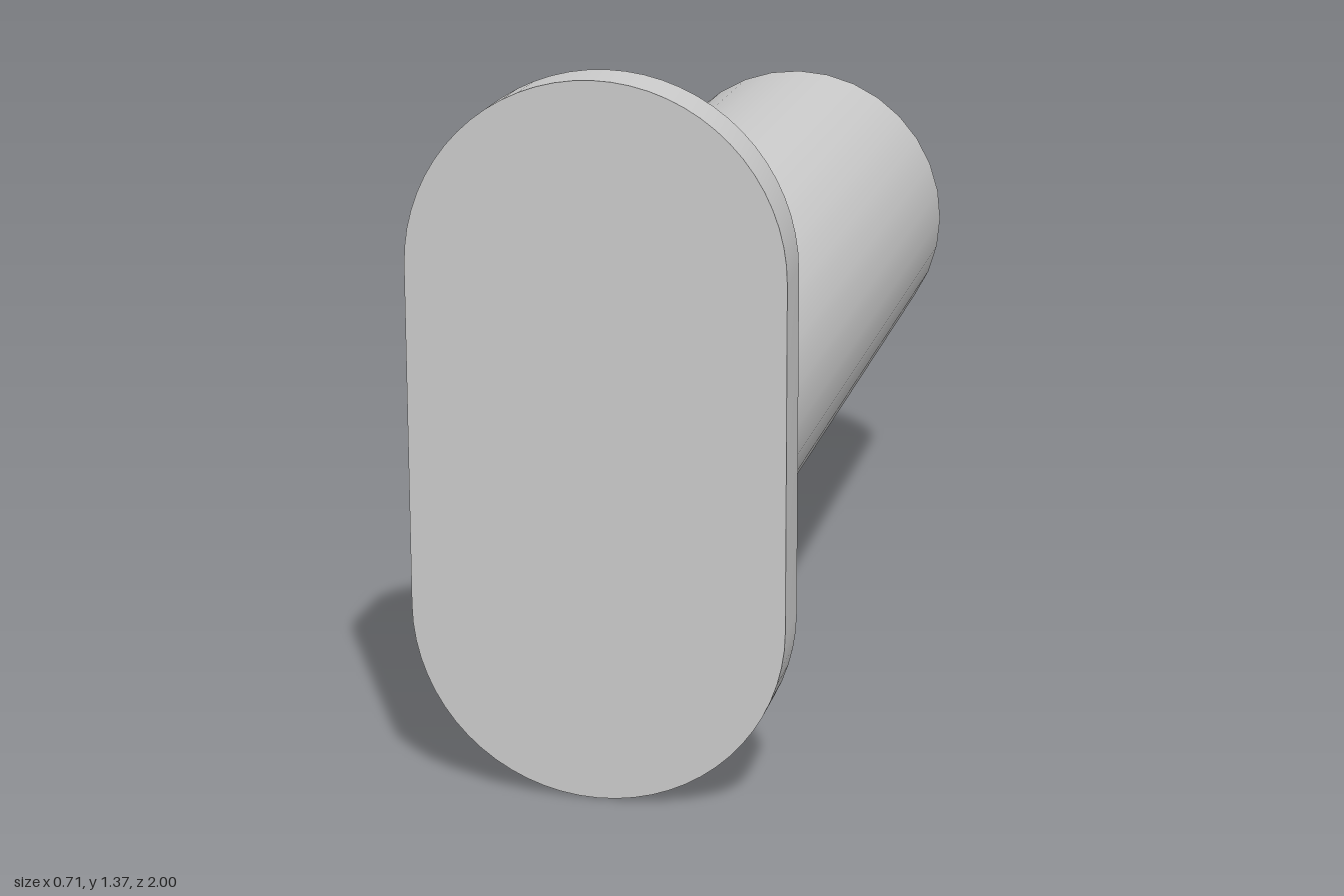
import * as THREE from 'three';
import { toCreasedNormals } from 'three/addons/utils/BufferGeometryUtils.js';

const HEIGHT = 1.37, PLATE_RADIUS = 0.357, PLATE_BACK = 0.89;
const ROD_RADIUS = 0.34, ROD_X = -0.007;

export function createModel() {
  const group = new THREE.Group();
  const material = new THREE.MeshStandardMaterial({ color: 0xcccccc });

  // Upright plate with fully rounded ends
  const outline = new THREE.Shape();
  outline.absarc(0, HEIGHT - PLATE_RADIUS, PLATE_RADIUS, 0, Math.PI, false);
  outline.absarc(0, PLATE_RADIUS, PLATE_RADIUS, Math.PI, 2 * Math.PI, false);
  outline.closePath();
  const plateGeometry = new THREE.ExtrudeGeometry(outline, {
    depth: 1 - PLATE_BACK, bevelEnabled: false, curveSegments: 16,
  });
  const plate = new THREE.Mesh(toCreasedNormals(plateGeometry, 0.6), material);
  plate.name = 'endPlate';
  plate.position.z = PLATE_BACK;
  group.add(plate);

  // Round rod running back from the plate
  const length = PLATE_BACK + 1;
  const rodGeometry = new THREE.CylinderGeometry(ROD_RADIUS, ROD_RADIUS, length, 32);
  rodGeometry.rotateX(Math.PI / 2);
  const rod = new THREE.Mesh(rodGeometry, material);
  rod.name = 'rod';
  rod.position.set(ROD_X, HEIGHT / 2 - 0.002, PLATE_BACK - length / 2);
  group.add(rod);

  return group;
}
